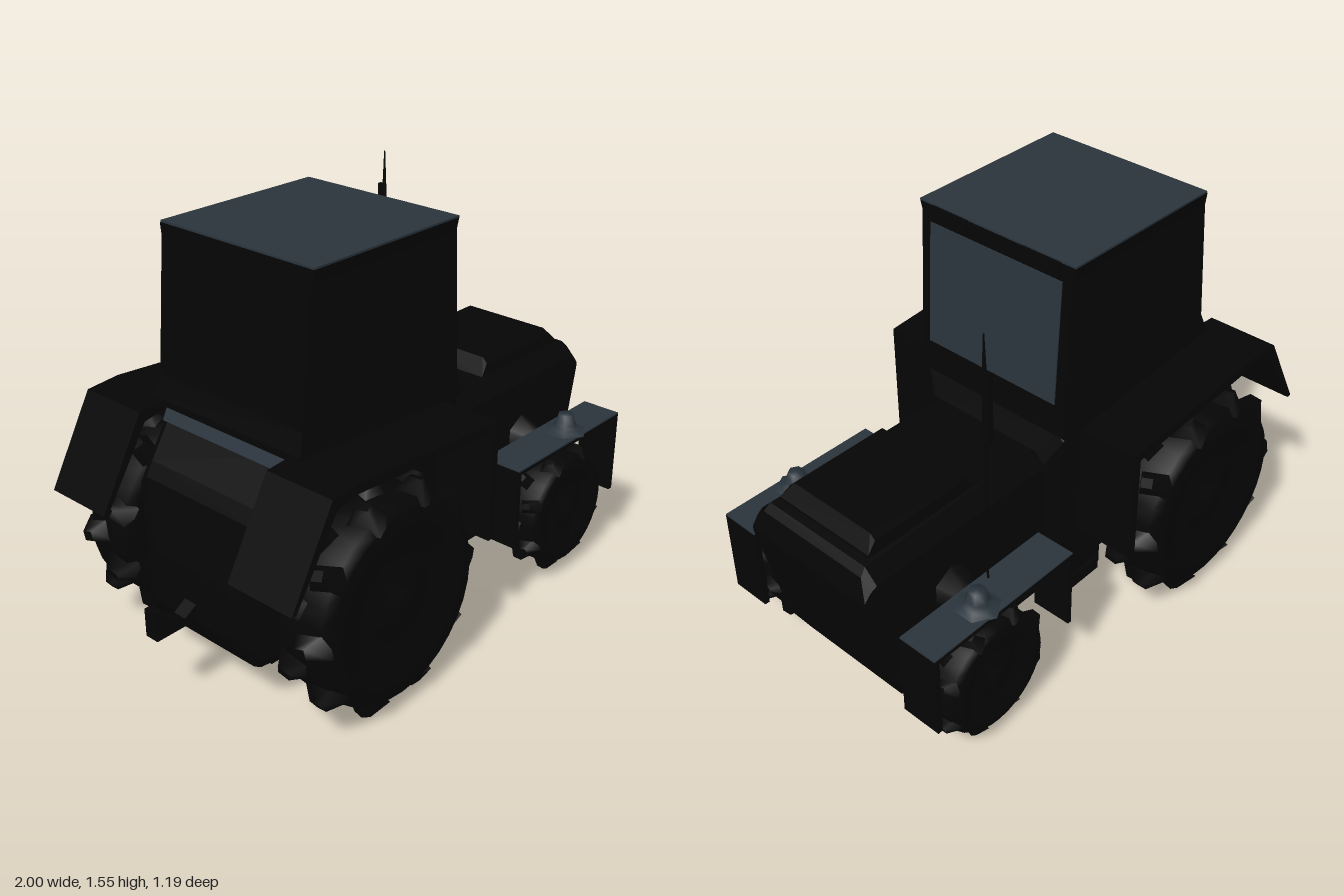
import * as THREE from 'three';
import { ConvexGeometry } from 'three/addons/geometries/ConvexGeometry.js';

const dark = new THREE.MeshStandardMaterial({ color: 0x050505, side: THREE.DoubleSide });
const slate = new THREE.MeshStandardMaterial({ color: 0x2a343c, side: THREE.DoubleSide });

export function createModel() {
  const model = new THREE.Group();
  // The whole body sits slightly off centre because of the exhaust side
  const body = new THREE.Group();
  body.name = 'tractor';
  body.position.z = 0.008;
  model.add(body);

  const add = (name, geometry, material = dark, parent = body) => {
    const mesh = new THREE.Mesh(geometry, material);
    mesh.name = name;
    parent.add(mesh);
    return mesh;
  };
  const box = (name, x0, x1, y0, y1, z0, z1, material) => {
    const mesh = add(name, new THREE.BoxGeometry(x1 - x0, y1 - y0, z1 - z0), material);
    mesh.position.set((x0 + x1) / 2, (y0 + y1) / 2, (z0 + z1) / 2);
  };
  // Hull of chamfered sections: [x, bottom, top, half width, top chamfer, bottom chamfer]
  const hull = (name, sections, material) => {
    const points = [];
    for (const [x, y0, y1, w, ct = 0, cb = 0] of sections)
      for (const s of [-1, 1])
        points.push(
          new THREE.Vector3(x, y0, s * (w - cb)), new THREE.Vector3(x, y0 + cb, s * w),
          new THREE.Vector3(x, y1 - ct, s * w), new THREE.Vector3(x, y1, s * (w - ct)));
    add(name, new ConvexGeometry(points), material);
  };
  // Hull of straight edges across the cab: [x, y, half width]
  const edges = (name, list, material) => add(name, new ConvexGeometry(list.flatMap(
    ([x, y, w]) => [new THREE.Vector3(x, y, w), new THREE.Vector3(x, y, -w)])), material);
  // Side profile extruded between two z values
  const slab = (name, profile, z0, z1) => {
    const shape = new THREE.Shape(profile.map(([x, y]) => new THREE.Vector2(x, y)));
    const geometry = new THREE.ExtrudeGeometry(shape, { depth: z1 - z0, bevelEnabled: false });
    geometry.translate(0, 0, z0);
    add(name, geometry);
  };
  const lathe = (profile, sides) =>
    new THREE.LatheGeometry(profile.map(([r, y]) => new THREE.Vector2(r, y)), sides);

  // Engine hood, nose and belly
  hull('hood', [
    [0.12, 0.16, 0.82, 0.275, 0.06, 0.04], [0.85, 0.16, 0.82, 0.275, 0.06, 0.04],
    [0.91, 0.27, 0.82, 0.275, 0.06, 0.03], [0.95, 0.48, 0.815, 0.275, 0.05, 0.02],
    [0.975, 0.6, 0.79, 0.272, 0.04, 0.01], [1.0, 0.7, 0.72, 0.27],
  ]);
  hull('hoodRise', [[0.45, 0.8, 0.82, 0.21], [0.49, 0.8, 0.88, 0.2, 0.02],
    [0.88, 0.8, 0.88, 0.2, 0.02], [0.92, 0.8, 0.83, 0.21]]);
  hull('belly', [[-0.7, 0.165, 0.4, 0.28, 0, 0.04], [0.2, 0.16, 0.4, 0.28, 0, 0.04]]);

  // Rear body with a sloped back
  hull('rearBody', [
    [-0.83, 0.3, 0.5, 0.2, 0.03, 0.03], [-0.78, 0.2, 0.73, 0.28, 0.03, 0.04],
    [-0.75, 0.18, 0.78, 0.28, 0.03, 0.04], [-0.68, 0.18, 0.84, 0.29, 0.03, 0.04],
    [-0.63, 0.18, 0.93, 0.3, 0.03, 0.04], [0.1, 0.18, 0.93, 0.3, 0.03, 0.04],
  ]);
  edges('rearLedge', [[-0.67, 0.89, 0.28], [-0.64, 0.95, 0.28], [-0.62, 0.89, 0.28]], slate);

  // Cab base, glass house and roof
  hull('cabBase', [[-0.08, 0.19, 0.95, 0.335], [0.1, 0.19, 0.95, 0.34, 0.02],
    [0.14, 0.19, 0.91, 0.33, 0.03], [0.18, 0.19, 0.82, 0.28, 0.04]]);
  edges('cabSill', [[-0.65, 0.89, 0.345], [-0.65, 0.955, 0.345], [-0.625, 1.03, 0.332],
    [0.142, 1.0, 0.328], [0.147, 0.9, 0.345]]);
  edges('cab', [[-0.63, 0.98, 0.332], [0.143, 0.95, 0.328], [-0.575, 1.53, 0.335],
    [0.11, 1.53, 0.33]]);
  edges('windshield', [[0.144, 1.02, 0.29], [0.116, 1.48, 0.29], [0.13, 1.02, 0.29],
    [0.1, 1.48, 0.29]], slate);
  edges('roofTrim', [[-0.575, 1.5, 0.338], [-0.575, 1.543, 0.343], [0.105, 1.5, 0.334],
    [0.11, 1.543, 0.34]]);
  edges('roofPanel', [[-0.572, 1.543, 0.343], [-0.572, 1.55, 0.343], [0.11, 1.543, 0.34],
    [0.11, 1.55, 0.34]], slate);
  for (const z of [-0.2, 0.2]) box('roofLight', 0.09, 0.12, 1.49, 1.545, z - 0.08, z + 0.08);

  // Drawbar hitch
  slab('hitch', [[-1, 0.31], [-0.75, 0.31], [-0.75, 0.4], [-0.83, 0.37], [-0.88, 0.34],
    [-0.93, 0.36], [-0.97, 0.415], [-1, 0.415]], -0.03, 0.025);
  box('hitchBracket', -0.83, -0.75, 0.3, 0.42, -0.12, 0.12);

  // Tread tyre with a dished rim; axle along z, outer face toward +z
  const wheel = (name, radius, width, lugs) => {
    const group = new THREE.Group();
    group.name = name;
    const r = radius * 0.89, h = width / 2;
    const tyre = lathe([[0, -h * 0.7], [r * 0.6, -h * 0.7], [r * 0.66, -h], [r * 0.93, -h],
      [r, -h * 0.75], [r, h * 0.75], [r * 0.93, h], [r * 0.66, h], [r * 0.6, h * 0.7],
      [r * 0.3, h * 0.7], [r * 0.16, h * 1.05], [0, h * 1.05]], 32);
    tyre.rotateX(Math.PI / 2);
    add('tyre', tyre, dark, group);
    for (let i = 0; i < lugs; i++) {
      // Slanted lugs alternate between the two halves of the tread
      const side = i % 2 ? 1 : -1;
      const pivot = new THREE.Group();
      pivot.rotation.z = i * (Math.PI * 2 / lugs);
      const lug = new THREE.CylinderGeometry(radius * 0.06, radius * 0.17, radius * 0.18, 4, 1);
      lug.rotateY(Math.PI / 4);
      lug.scale(1, 1, width * 0.58 / (radius * 0.24));
      const mesh = add('lug', lug, dark, pivot);
      mesh.position.set(0, radius * 0.915, side * width * 0.21);
      mesh.rotation.y = side * 0.3;
      group.add(pivot);
    }
    return group;
  };

  // Wheels, fenders and axles, mirrored left to right
  for (const s of [1, -1]) {
    const place = (group, x, y, z) => {
      group.position.set(x, y, s * z);
      if (s < 0) group.rotation.y = Math.PI;
      body.add(group);
    };
    const span = (a, b) => (s > 0 ? [a, b] : [-b, -a]);

    place(wheel('rearWheel', 0.415, 0.225, 20), -0.43, 0.42, 0.473);
    place(wheel('frontWheel', 0.25, 0.15, 16), 0.65, 0.28, 0.43);

    // Rear fender: sloped tail, flat top and front drop
    slab('rearFender', [[-0.93, 0.62], [-0.91, 0.62], [-0.73, 0.9], [-0.64, 0.915], [0.03, 0.87],
      [0.03, 0.45], [0.06, 0.45], [0.06, 0.9], [-0.62, 0.95], [-0.75, 0.94]],
      ...span(0.3, 0.575));
    box('step', -0.05, 0.13, 0.19, 0.24, ...span(0.28, 0.355));

    // Front fender: thin top with a flap at each end
    slab('frontFender', [[0.29, 0.27], [0.305, 0.27], [0.305, 0.575], [0.925, 0.575],
      [0.925, 0.26], [0.945, 0.26], [0.945, 0.59], [0.29, 0.59]], ...span(0.355, 0.51));
    box('frontFenderTop', 0.29, 0.945, 0.588, 0.594, ...span(0.355, 0.51), slate);
    const lamp = add('fenderLamp',
      lathe([[0.085, 0], [0.055, 0.015], [0.04, 0.03], [0.03, 0.07], [0, 0.07]], 6), slate);
    lamp.position.set(0.68, 0.592, s * 0.44);
    const arm = add('fenderArm', new THREE.CylinderGeometry(0.04, 0.1, 0.14, 6));
    arm.rotation.x = s * Math.PI / 2;
    arm.position.set(0.63, 0.54, s * 0.31);

    for (const [x, y, r] of [[-0.43, 0.42, 0.09], [0.65, 0.28, 0.06]]) {
      const axle = add('axle', new THREE.CylinderGeometry(r, r, 0.3, 12));
      axle.rotation.x = Math.PI / 2;
      axle.position.set(x, y, s * 0.28);
    }
  }

  // Slender exhaust stack with a flat guard on its outer side
  const stack = add('exhaust', lathe([[0, 0.59], [0.004, 0.59], [0.005, 0.95], [0.009, 1.15],
    [0.008, 1.4], [0.002, 1.55], [0, 1.55]], 8));
  stack.position.set(0.565, 0, -0.378);
  box('exhaustGuard', 0.557, 0.573, 1.16, 1.42, -0.404, -0.378);

  return model;
}
